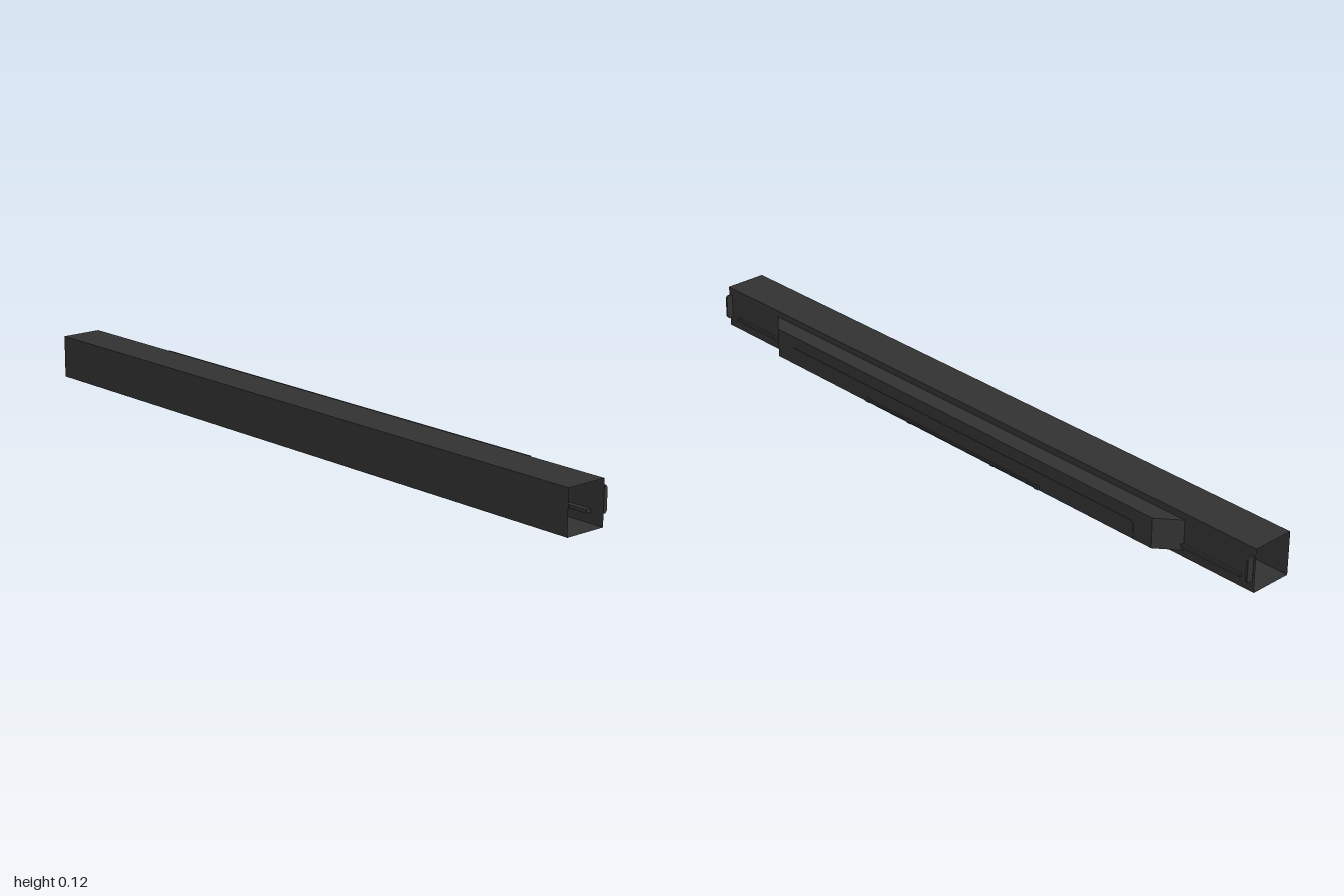
import * as THREE from 'three';

export function createModel() {
  const group = new THREE.Group();
  const dark = new THREE.MeshStandardMaterial({ color: 0x333333, flatShading: true, side: THREE.DoubleSide });

  const add = (name, geometry, x = 0, y = 0, z = 0) => {
    const mesh = new THREE.Mesh(geometry, dark);
    mesh.name = name;
    mesh.position.set(x, y, z);
    group.add(mesh);
    return mesh;
  };
  const polygon = (points) => new THREE.Shape(points.map(([a, b]) => new THREE.Vector2(a, b)));
  const extrude = (points, depth) =>
    new THREE.ExtrudeGeometry(polygon(points), { depth, bevelEnabled: false });

  // Square sleeve of thin sheet, open at both ends
  const sleeve = new THREE.CylinderGeometry(0.06 * Math.SQRT2, 0.06 * Math.SQRT2, 2, 4, 1, true);
  sleeve.rotateY(Math.PI / 4).rotateZ(Math.PI / 2);
  add('sleeve', sleeve, 0, 0.06, 0.03);

  // Tapered housing along the back
  const housing = extrude([[-0.775, -0.03], [-0.715, -0.08], [0.715, -0.08], [0.775, -0.03]], 0.084);
  housing.rotateX(Math.PI / 2);
  add('backHousing', housing, 0, 0.102, 0);

  // Lower cover panel with clipped upper corners
  const panel = extrude([[-0.655, 0.02], [0.655, 0.02], [0.655, 0.062], [0.648, 0.068], [-0.648, 0.068], [-0.655, 0.062]], 0.0015);
  add('coverPanel', panel, 0, 0, -0.0815);

  // Slim rod on the cover, with collars
  const rod = (radius, length) => new THREE.CylinderGeometry(radius, radius, length, 10).rotateZ(Math.PI / 2);
  add('backRod', rod(0.0045, 0.65), 0, 0.027, -0.0845);
  for (const x of [-0.325, -0.16, 0.16, 0.325]) {
    add('rodCollar', rod(0.006, 0.012), x, 0.027, -0.0845);
  }

  // Mirrored end tabs and guide bars
  const tabOutline = [[-0.03, 0.03], [-0.044, 0.03], [-0.049, 0.036], [-0.049, 0.093], [-0.044, 0.099], [-0.03, 0.099]];
  for (const side of [-1, 1]) {
    const tab = extrude(tabOutline.map(([z, y]) => [-z, y]), 0.006);
    tab.rotateY(Math.PI / 2);
    // The outline's horizontal axis becomes -z after turning
    add('endTab', tab, side * 0.99 - 0.003, 0, 0);
    add('guideBar', new THREE.BoxGeometry(0.19, 0.009, 0.021), side * 0.865, 0.032, -0.0255);
  }

  return group;
}
